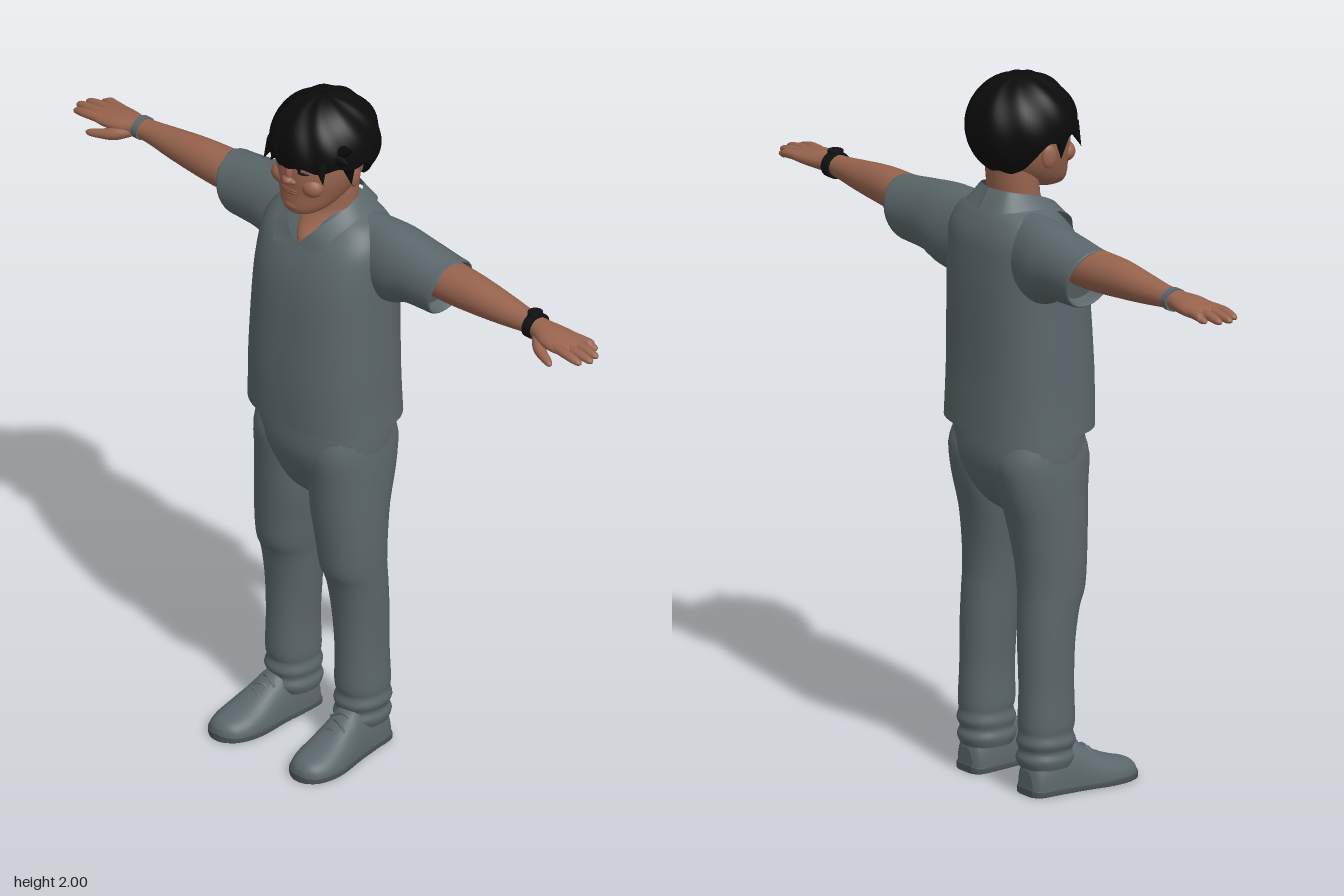
import * as THREE from 'three';
import { ParametricGeometry } from 'three/addons/geometries/ParametricGeometry.js';

const mat = (name, color, side = THREE.FrontSide) => {
  const m = new THREE.MeshStandardMaterial({ color, side });
  m.name = name;
  return m;
};

// Catmull-Rom refinement of a list of cross-sections
function refine(rows, steps) {
  const out = [];
  for (let i = 0; i < rows.length - 1; i++) {
    const [a, b, c, d] = [rows[Math.max(i - 1, 0)], rows[i], rows[i + 1], rows[Math.min(i + 2, rows.length - 1)]];
    for (let s = 0; s < steps; s++) {
      const t = s / steps;
      out.push(b.map((p, k) => p + 0.5 * t * (c[k] - a[k] + t * (2 * a[k] - 5 * p + 4 * c[k] - d[k]
        + t * (3 * (p - c[k]) + d[k] - a[k])))));
    }
  }
  out.push(rows[rows.length - 1]);
  return out;
}

// Rounded tube through sections [t, a, b, ra, rb] along one axis, capped at both ends
function loft(axis, rows, { n = 32, e = 2, steps = 4, rule } = {}) {
  const pos = [], idx = [], rings = refine(rows, steps);
  const pow = v => Math.sign(v) * Math.abs(v) ** (2 / e);
  const add = (t, a, b) => {
    const p = axis === 'y' ? new THREE.Vector3(a, t, b) : axis === 'x' ? new THREE.Vector3(t, a, b) : new THREE.Vector3(a, b, t);
    if (rule) rule(p);
    pos.push(p.x, p.y, p.z);
  };
  const ring = ([t, a, b, ra, rb]) => {
    for (let j = 0; j < n; j++) {
      const c = pow(Math.cos(j / n * Math.PI * 2)), s = pow(Math.sin(j / n * Math.PI * 2));
      if (axis === 'y') add(t, a + ra * c, b + rb * s);
      else add(t, a + ra * s, b + rb * c);
    }
  };
  rings.forEach(ring);
  for (let i = 0; i < rings.length - 1; i++) for (let j = 0; j < n; j++) {
    const a = i * n + j, b = i * n + (j + 1) % n;
    idx.push(a, a + n, b, b, a + n, b + n);
  }
  [rings[0], rings[rings.length - 1]].forEach((r, k) => {
    const base = pos.length / 3;
    ring(r);
    add(r[0], r[1], r[2]);
    for (let j = 0; j < n; j++) {
      const a = base + j, b = base + (j + 1) % n;
      idx.push(base + n, k ? b : a, k ? a : b);
    }
  });
  const g = new THREE.BufferGeometry();
  g.setAttribute('position', new THREE.Float32BufferAttribute(pos, 3));
  g.setIndex(idx);
  g.computeVertexNormals();
  return g;
}

// Sections given as front and back depth instead of centre and radius
const body = rows => rows.map(([y, cx, rx, zf, zb]) => [y, cx, (zf + zb) / 2, rx, (zf - zb) / 2]);

function mirrored(g) {
  const m = g.clone().scale(-1, 1, 1), ix = m.index.array;
  for (let i = 0; i < ix.length; i += 3) [ix[i], ix[i + 1]] = [ix[i + 1], ix[i]];
  m.computeVertexNormals();
  return m;
}

// Ruled sheet between two smooth curves
function sheet(p, q) {
  const [a, b] = [p, q].map(l => new THREE.CatmullRomCurve3(l.map(v => new THREE.Vector3(...v))));
  return new ParametricGeometry((u, v, o) => o.lerpVectors(a.getPoint(u), b.getPoint(u), v), 24, 3);
}

export function createModel() {
  const cloth = mat('grey cloth', 0x5b676b), clothSheet = mat('grey cloth sheet', 0x5b676b, THREE.DoubleSide);
  const skin = mat('skin', 0x98644e), lips = mat('lips', 0x84503f), hairMat = mat('black hair', 0x0b0b0c, THREE.DoubleSide);
  const black = mat('black', 0x101112), sole = mat('sole', 0x4a5357);

  const model = new THREE.Group(), torso = new THREE.Group(), arms = new THREE.Group(), head = new THREE.Group();
  torso.name = 'clothedBody'; arms.name = 'arms'; head.name = 'head';
  torso.position.x = -0.018; arms.position.x = -0.004; head.position.x = -0.012;
  model.add(torso, arms, head);
  const put = (parent, name, geo, m) => {
    const mesh = new THREE.Mesh(geo, m);
    mesh.name = name;
    parent.add(mesh);
    return mesh;
  };
  const both = (parent, name, geo, m) => {
    put(parent, 'left' + name, geo, m);
    put(parent, 'right' + name, mirrored(geo), m);
  };
  const blob = (parent, name, m, p, s, ry = 0, rz = 0) => {
    const mesh = put(parent, name, new THREE.SphereGeometry(1, 16, 12), m);
    mesh.position.set(...p); mesh.scale.set(...s); mesh.rotation.set(0, ry, rz);
  };

  // Shirt
  put(torso, 'shirt', loft('y', body([
    [1.02, 0, 0.218, 0.122, -0.22], [1.1, 0, 0.214, 0.124, -0.218], [1.2, 0, 0.212, 0.122, -0.215], [1.4, 0, 0.207, 0.108, -0.215],
    [1.5, 0, 0.204, 0.088, -0.212], [1.57, 0, 0.198, 0.058, -0.205], [1.62, 0, 0.165, 0.02, -0.185],
    [1.645, 0, 0.12, 0, -0.168], [1.665, 0, 0.088, -0.012, -0.15]]), { n: 48, e: 2.5 }), cloth);
  put(torso, 'placket', sheet(
    [[-0.012, 1.022, 0.126], [-0.012, 1.2, 0.126], [-0.012, 1.4, 0.112], [-0.012, 1.5, 0.092], [-0.012, 1.57, 0.063]],
    [[0.012, 1.022, 0.126], [0.012, 1.2, 0.126], [0.012, 1.4, 0.112], [0.012, 1.5, 0.092], [0.012, 1.57, 0.063]]), clothSheet);
  for (const s of [1, -1]) put(torso, s > 0 ? 'leftCollar' : 'rightCollar', sheet(
    [[0.004 * s, 1.565, 0.07], [0.05 * s, 1.62, 0.045], [0.09 * s, 1.672, -0.04], [0.065 * s, 1.695, -0.13], [0, 1.698, -0.155]],
    [[0.075 * s, 1.553, 0.077], [0.105 * s, 1.605, 0.042], [0.122 * s, 1.645, -0.05], [0.085 * s, 1.647, -0.165], [0, 1.642, -0.188]]), clothSheet);

  // Sleeves, with a slanted hem folded inward
  both(arms, 'Sleeve', loft('x', [
    [0.06, 1.52, -0.1, 0.125, 0.07], [0.2, 1.525, -0.105, 0.119, 0.088], [0.28, 1.532, -0.106, 0.1, 0.086],
    [0.36, 1.528, -0.107, 0.09, 0.084], [0.395, 1.527, -0.107, 0.087, 0.083], [0.397, 1.527, -0.107, 0.08, 0.076], [0.36, 1.53, -0.105, 0.072, 0.07]],
    { rule: p => { p.x += (p.y - 1.53) * 0.3 * THREE.MathUtils.smoothstep(p.x, 0.2, 0.38); } }), cloth);

  // Arms, hands and fingers
  both(arms, 'Arm', loft('x', [
    [0.3, 1.555, -0.1, 0.055, 0.062], [0.42, 1.555, -0.098, 0.057, 0.06], [0.52, 1.557, -0.095, 0.053, 0.053],
    [0.62, 1.556, -0.094, 0.042, 0.044], [0.7, 1.556, -0.093, 0.032, 0.034], [0.75, 1.556, -0.09, 0.028, 0.033],
    [0.8, 1.555, -0.085, 0.026, 0.048], [0.85, 1.553, -0.085, 0.021, 0.054], [0.885, 1.553, -0.085, 0.014, 0.05], [0.895, 1.553, -0.085, 0.005, 0.04]],
    { n: 24 }), skin);
  [[0.93, -0.128], [0.96, -0.1], [0.968, -0.071], [0.952, -0.043]].forEach(([tip, z], i) =>
    both(arms, 'Finger' + (i + 1), loft('x', [
      [0.84, 1.555, z * 0.85 - 0.013, 0.013, 0.014], [0.9, 1.554, z, 0.013, 0.0145], [tip - 0.02, 1.549, z, 0.011, 0.012],
      [tip - 0.005, 1.547, z, 0.007, 0.008], [tip, 1.546, z, 0.001, 0.001]], { n: 12, steps: 2 }), skin));
  both(arms, 'Thumb', loft('x', [
    [0.755, 1.545, -0.07, 0.012, 0.015], [0.79, 1.537, -0.045, 0.019, 0.022], [0.83, 1.53, -0.024, 0.014, 0.016],
    [0.862, 1.526, -0.012, 0.01, 0.011], [0.874, 1.525, -0.008, 0.002, 0.002]], { n: 12 }), skin);

  // Wrist band on the left, thin bracelet on the right
  const band = (x, w, ry, rz) => loft('x', [[x - w, 1.556, -0.092, ry, rz], [x + w, 1.556, -0.092, ry, rz]], { steps: 1 });
  put(arms, 'watchStrap', band(0.733, 0.013, 0.037, 0.041), black);
  put(arms, 'watchFace', new THREE.CylinderGeometry(0.021, 0.021, 0.01, 20).translate(0.733, 1.594, -0.092), black);
  put(arms, 'bracelet', mirrored(band(0.742, 0.01, 0.032, 0.037)), cloth);

  // Trousers: hips plus two legs with bunched cuffs
  put(torso, 'hips', loft('y', body([
    [0.76, 0, 0.04, 0.01, -0.08], [0.8, 0, 0.12, 0.05, -0.135], [0.86, 0, 0.185, 0.078, -0.175],
    [0.94, 0, 0.2, 0.1, -0.2], [1.04, 0, 0.195, 0.098, -0.195]]), { e: 2.3 }), cloth);
  both(torso, 'TrouserLeg', loft('y', body([
    [0.075, 0.128, 0.066, 0.01, -0.133], [0.1, 0.128, 0.073, 0.022, -0.142], [0.122, 0.128, 0.066, 0.014, -0.134], [0.145, 0.13, 0.073, 0.022, -0.142],
    [0.17, 0.13, 0.067, 0.014, -0.136], [0.2, 0.13, 0.07, 0.02, -0.138], [0.3, 0.129, 0.068, 0.018, -0.134], [0.42, 0.125, 0.075, 0.022, -0.133],
    [0.52, 0.122, 0.081, 0.038, -0.128], [0.57, 0.119, 0.086, 0.058, -0.126], [0.65, 0.114, 0.093, 0.066, -0.13], [0.75, 0.105, 0.101, 0.074, -0.146],
    [0.85, 0.101, 0.103, 0.08, -0.175], [0.94, 0.1, 0.1, 0.088, -0.19], [1.0, 0.1, 0.09, 0.07, -0.17]]),
    { e: 2.2, steps: 3 }), cloth);

  // Shoes
  const flat = p => { p.y = Math.max(p.y, 0.012); };
  both(torso, 'Shoe', loft('z', [
    [-0.13, 0.132, 0.01, 0.03, 0.06], [-0.115, 0.132, 0.01, 0.05, 0.095], [-0.07, 0.134, 0.01, 0.058, 0.125], [0, 0.138, 0.01, 0.06, 0.13],
    [0.04, 0.142, 0.01, 0.064, 0.108], [0.1, 0.147, 0.01, 0.07, 0.075], [0.15, 0.15, 0.01, 0.068, 0.055], [0.19, 0.152, 0.01, 0.053, 0.043],
    [0.21, 0.153, 0.01, 0.03, 0.028], [0.216, 0.153, 0.01, 0.01, 0.012]], { e: 2.3, rule: flat }), cloth);
  both(torso, 'Sole', loft('z', [
    [-0.133, 0.132, 0.01, 0.03, 0.01], [-0.115, 0.132, 0.01, 0.054, 0.01], [-0.05, 0.135, 0.01, 0.06, 0.01], [0.02, 0.141, 0.01, 0.064, 0.01],
    [0.1, 0.147, 0.01, 0.074, 0.01], [0.15, 0.15, 0.01, 0.071, 0.01], [0.19, 0.152, 0.01, 0.056, 0.01], [0.212, 0.153, 0.01, 0.032, 0.01],
    [0.219, 0.153, 0.01, 0.012, 0.01]], { e: 8 }), sole);
  for (let i = 0; i < 4; i++) {
    const z = 0.03 + i * 0.022, y = 0.128 - i * 0.015, cx = 0.141 + i * 0.002;
    const arc = new THREE.CatmullRomCurve3([[-0.035, -0.02], [0, 0], [0.035, -0.02]].map(([x, d], k) =>
      new THREE.Vector3(cx + x, y + d, z + (k - 1) * 0.008 * (i % 2 ? 1 : -1))));
    both(torso, 'Lace' + (i + 1), new THREE.TubeGeometry(arc, 10, 0.005, 6), cloth);
  }

  // Neck, showing through the open collar
  put(head, 'neck', loft('y', body([
    [1.56, 0, 0.015, 0.062, -0.08], [1.59, 0, 0.045, 0.055, -0.1], [1.63, 0, 0.075, 0.022, -0.12],
    [1.67, 0, 0.08, 0.002, -0.13], [1.75, 0, 0.08, 0.0, -0.14]])), skin);

  // Head and face
  put(head, 'face', loft('y', body([
    [1.672, 0, 0.02, 0.075, 0.02], [1.682, 0, 0.052, 0.09, -0.02], [1.705, 0, 0.076, 0.097, -0.07], [1.74, 0, 0.095, 0.097, -0.12],
    [1.78, 0, 0.109, 0.1, -0.15], [1.82, 0, 0.114, 0.099, -0.16], [1.88, 0, 0.112, 0.092, -0.165],
    [1.93, 0, 0.09, 0.06, -0.14], [1.965, 0, 0.04, 0.01, -0.08]]), { e: 2.15 }), skin);
  blob(head, 'noseBridge', skin, [0, 1.808, 0.094], [0.012, 0.028, 0.015]);
  blob(head, 'noseTip', skin, [0, 1.787, 0.1], [0.017, 0.012, 0.018]);
  blob(head, 'upperLip', lips, [0, 1.755, 0.094], [0.03, 0.005, 0.009]);
  blob(head, 'lowerLip', lips, [0, 1.747, 0.093], [0.025, 0.006, 0.009]);
  blob(head, 'chin', skin, [0, 1.704, 0.078], [0.035, 0.02, 0.022]);
  for (const s of [1, -1]) {
    const side = s > 0 ? 'left' : 'right';
    blob(head, side + 'Nostril', skin, [0.014 * s, 1.784, 0.095], [0.011, 0.009, 0.012]);
    blob(head, side + 'Cheek', skin, [0.055 * s, 1.772, 0.066], [0.035, 0.03, 0.028]);
    blob(head, side + 'Eye', black, [0.044 * s, 1.817, 0.088], [0.018, 0.005, 0.006], 0.4 * s);
    blob(head, side + 'Brow', black, [0.046 * s, 1.838, 0.088], [0.026, 0.005, 0.006], 0.4 * s, -0.08 * s);
    blob(head, side + 'Ear', skin, [0.118 * s, 1.79, -0.035], [0.012, 0.034, 0.022], 0.25 * s);
  }

  // Hair: a wavy cap, long at the nape and short over the brow
  put(head, 'hair', new ParametricGeometry((u, v, o) => {
    const th = u * Math.PI * 2, f = Math.sin(th);
    const low = 98 + 54 * THREE.MathUtils.smoothstep(-f, -0.05, 1) + 4 * Math.sin(9 * th);
    const al = Math.max(Math.min(v / 0.9, 1) * low * Math.PI / 180, 0.001);
    let r = 1 - 0.022 * (1 + Math.sin(9 * th + 7 * v)) * Math.sin(al);
    if (v > 0.9) r *= 1 - 2.5 * (v - 0.9);
    o.set(0.15 * r * Math.sin(al) * Math.cos(th), 1.855 + 0.145 * r * Math.cos(al), -0.04 + 0.16 * r * Math.sin(al) * f);
  }, 72, 30), hairMat);
  // Loose locks: position, direction and length
  [[[0.125, 1.89, 0.02], [1, 0.55, 0.2], 0.06], [[0.125, 1.87, 0.03], [1, 0.1, 0.3], 0.045], [[0.09, 1.86, 0.07], [0.5, -1, 0.3], 0.06],
    [[-0.09, 1.86, 0.065], [-0.4, -1, 0.2], 0.07], [[-0.04, 1.87, 0.095], [-0.5, -1, 0.2], 0.055], [[0.03, 1.87, 0.098], [0.4, -1, 0.2], 0.05],
    [[-0.128, 1.84, 0.0], [-0.1, -1, -0.1], 0.06], [[0.128, 1.84, 0.0], [0.1, -1, -0.1], 0.06]].forEach(([p, d, len], i) => {
    const lock = put(head, 'hairLock' + (i + 1), new THREE.ConeGeometry(0.02, len, 8).translate(0, len / 2, 0), hairMat);
    lock.position.set(...p);
    lock.quaternion.setFromUnitVectors(new THREE.Vector3(0, 1, 0), new THREE.Vector3(...d).normalize());
  });
  return model;
}
